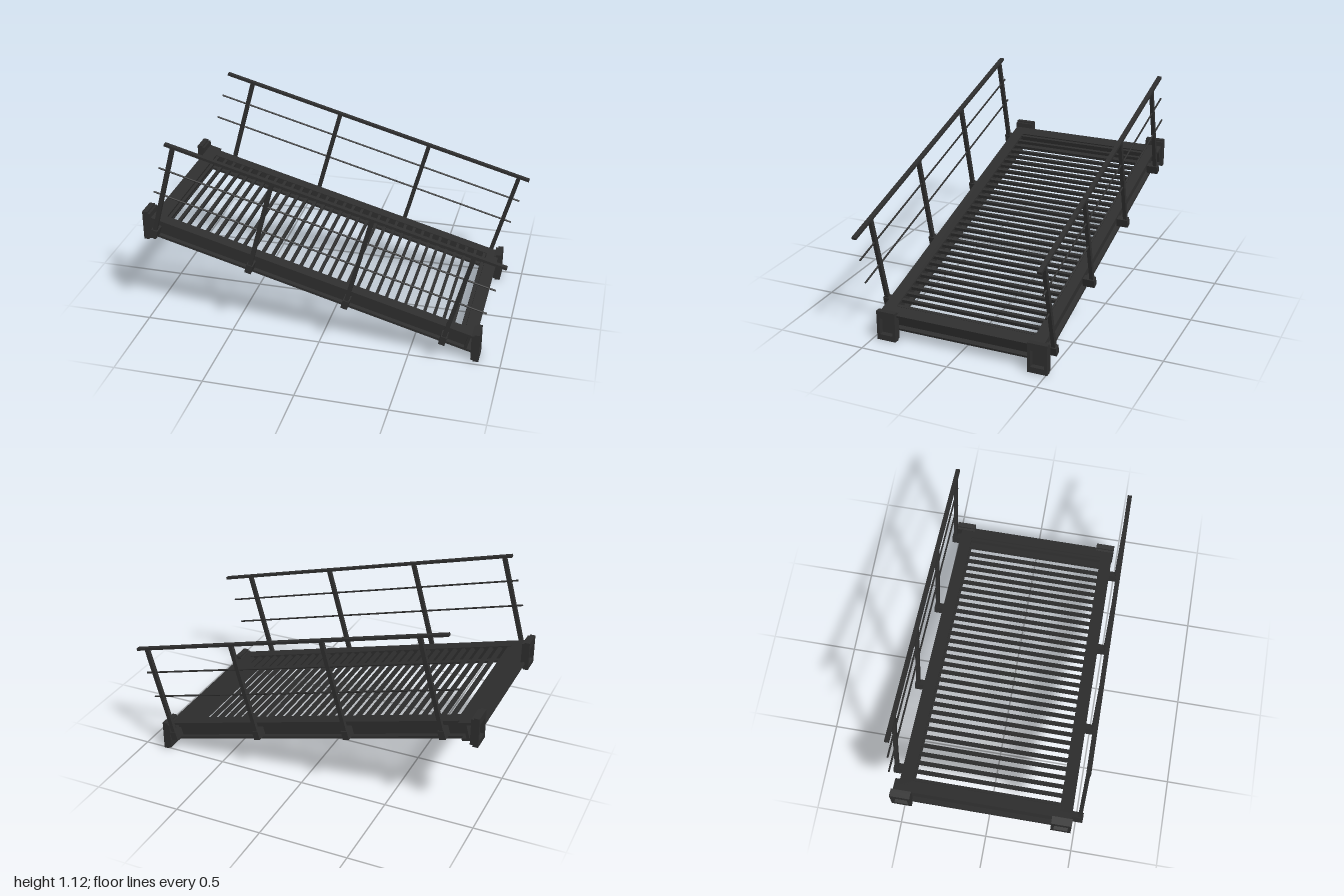
import * as THREE from 'three';

const dark = new THREE.MeshStandardMaterial({ color: 0x2e2e2e });

function add(parent, name, geometry, x = 0, y = 0, z = 0) {
  const mesh = new THREE.Mesh(geometry, dark);
  mesh.name = name;
  mesh.position.set(x, y, z);
  parent.add(mesh);
  return mesh;
}

const box = (w, h, d) => new THREE.BoxGeometry(w, h, d);

// I-section of width 0.07 and height 0.102, extruded along z from its centre
function iBeam(length) {
  const w = 0.035, h = 0.051, web = 0.008, f = 0.038;
  const right = [[w, -h], [w, -f], [web, -f], [web, f], [w, f], [w, h]];
  const left = right.map(([x, y]) => [-x, -y]);
  const shape = new THREE.Shape([...right, ...left].map(p => new THREE.Vector2(...p)));
  const geo = new THREE.ExtrudeGeometry(shape, { depth: length, bevelEnabled: false });
  return geo.translate(0, 0, -length / 2);
}

// Upright end bracket: pocketed outer face on +x, smaller plate behind it
function endBracket(name) {
  const group = new THREE.Group();
  group.name = name;
  const rect = (C, w, y0, y1) => new C([[-w, y0], [w, y0], [w, y1], [-w, y1]]
    .map(p => new THREE.Vector2(...p)));
  const face = rect(THREE.Shape, 0.055, -0.084, 0.084);
  face.holes.push(rect(THREE.Path, 0.038, -0.052, 0.042));
  const geo = new THREE.ExtrudeGeometry(face, { depth: 0.03, bevelEnabled: false });
  geo.rotateY(Math.PI / 2);
  add(group, 'bracketFace', geo, -0.008, 0, 0);
  add(group, 'bracketBack', box(0.014, 0.15, 0.11), -0.015, 0, 0);
  return group;
}

export function createModel() {
  const model = new THREE.Group();
  model.name = 'slopedWalkway';

  // Everything except the end brackets lies in a frame tilted 15 degrees
  const ramp = new THREE.Group();
  ramp.name = 'ramp';
  ramp.position.set(-0.95, 0.53, 0);
  ramp.rotation.z = -Math.PI / 12;
  model.add(ramp);

  const u0 = -0.031, u1 = 1.847, mid = (u0 + u1) / 2, v = 0.051;

  // Frame beams
  for (const [name, z] of [['leftSideBeam', 0.434], ['rightSideBeam', -0.44]]) {
    add(ramp, name, iBeam(u1 - u0 - 0.08).rotateY(Math.PI / 2), mid, v, z);
  }
  add(ramp, 'upperEndBeam', iBeam(0.969), u0 + 0.035, v, -0.0155);
  add(ramp, 'lowerEndBeam', iBeam(0.944), u1 - 0.035, v, -0.003);

  // Deck slats
  for (let i = 0; i < 32; i++) {
    add(ramp, 'deckSlat', box(0.017, 0.02, 0.83), 0.052 + i * 0.0552, 0.088, -0.006);
  }

  // Railings: the two sides have their posts offset along the slope
  for (const [side, s, firstPost] of [['left', 1, 0.019], ['right', -1, 0.131]]) {
    const railing = new THREE.Group();
    railing.name = side + 'Railing';
    ramp.add(railing);
    const z = s * 0.512;
    add(railing, 'handrail', box(1.885, 0.014, 0.025), 0.9155, 0.597, z);
    for (const height of [0.448, 0.297]) {
      const rod = new THREE.CylinderGeometry(0.005, 0.005, 1.88, 10).rotateZ(Math.PI / 2);
      add(railing, 'midRail', rod, 0.908, height, z);
    }
    for (let i = 0; i < 4; i++) {
      const u = firstPost + i * 0.555;
      add(railing, 'post', box(0.023, 0.575, 0.021), u, 0.305, z);
      add(railing, 'postBracket', box(0.036, 0.05, 0.066), u, 0.046, s * 0.496);
    }
  }

  // End brackets at the four corners
  for (const [end, x, y, turn] of [['upper', -0.978, 0.588, Math.PI], ['lower', 0.858, 0.084, 0]]) {
    for (const [side, z] of [['Left', 0.42], ['Right', -0.452]]) {
      const bracket = endBracket(end + side + 'EndBracket');
      bracket.position.set(x, y, z);
      bracket.rotation.y = turn;
      model.add(bracket);
    }
  }
  return model;
}
